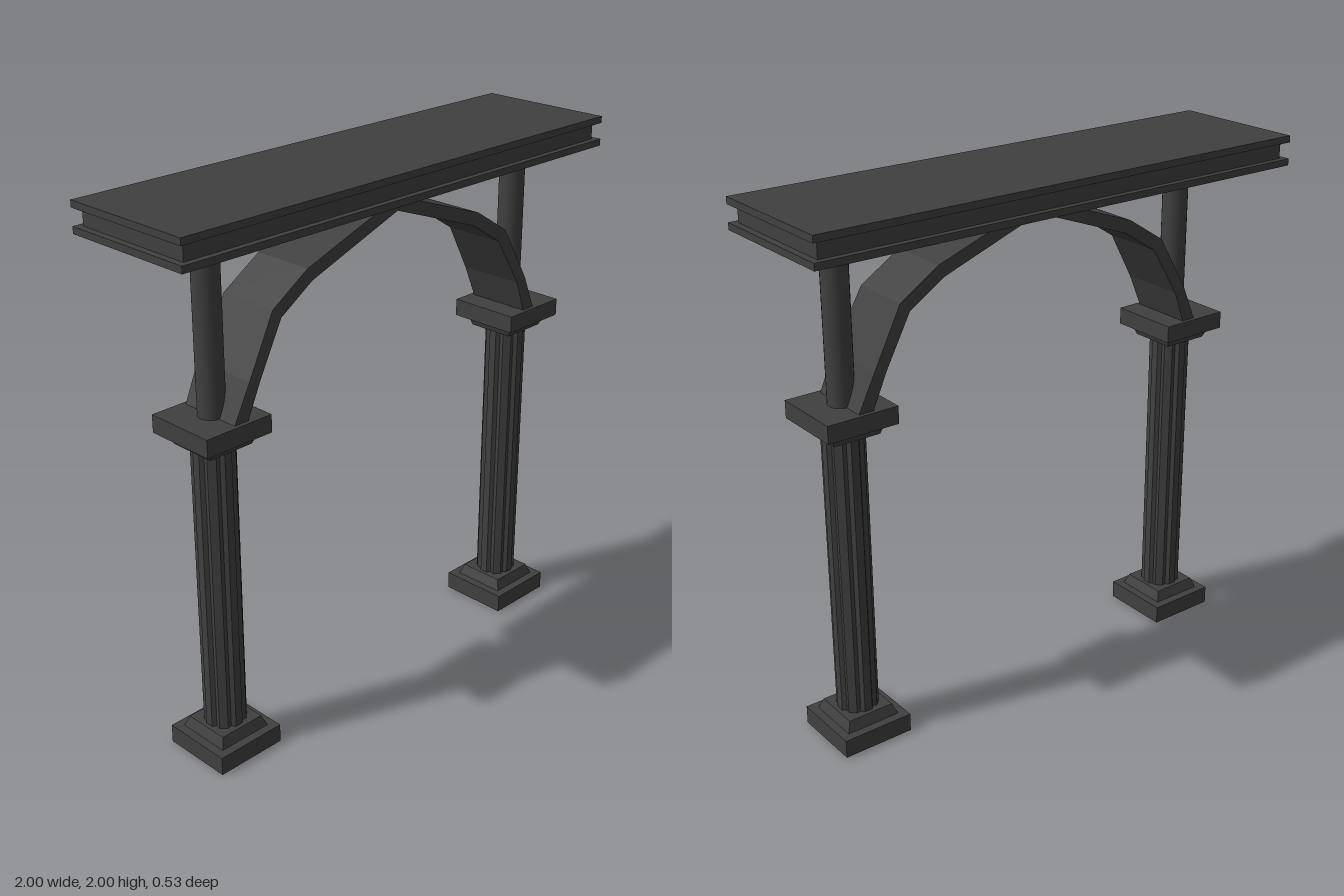
import * as THREE from 'three';

const material = new THREE.MeshStandardMaterial({ color: 0x404040, flatShading: true });
const smooth = new THREE.MeshStandardMaterial({ color: 0x404040 });
const COLUMN_X = 0.745;
const COLUMN_Z = 0.058;

function add(parent, name, geometry, y = 0, mat = material) {
  const mesh = new THREE.Mesh(geometry, mat);
  mesh.name = name;
  mesh.position.y = y;
  parent.add(mesh);
  return mesh;
}

// Box standing between two heights
function slab(parent, name, w, d, y0, y1) {
  return add(parent, name, new THREE.BoxGeometry(w, y1 - y0, d), (y0 + y1) / 2);
}

// Square block with sloping sides
function taper(parent, name, bottomHalf, topHalf, y0, y1) {
  const g = new THREE.CylinderGeometry(topHalf * Math.SQRT2, bottomHalf * Math.SQRT2, y1 - y0, 4);
  g.rotateY(Math.PI / 4);
  return add(parent, name, g, (y0 + y1) / 2);
}

// Fluted shaft: ribs and shallow grooves around an upright prism
function shaftGeometry(height) {
  const shape = new THREE.Shape();
  const n = 8;
  for (let i = 0; i < n; i++) {
    const a = (i / n) * Math.PI * 2;
    for (const [da, r] of [[-0.2, 0.0765], [0.2, 0.0765], [Math.PI / n, 0.066]]) {
      const x = Math.cos(a + da) * r, y = Math.sin(a + da) * r;
      if (i === 0 && da === -0.2) shape.moveTo(x, y);
      else shape.lineTo(x, y);
    }
  }
  shape.closePath();
  const g = new THREE.ExtrudeGeometry(shape, { depth: height, bevelEnabled: false });
  return g.rotateX(-Math.PI / 2);
}

function column(name, x) {
  const g = new THREE.Group();
  g.name = name;
  g.position.set(x, 0, COLUMN_Z);
  slab(g, 'plinth', 0.274, 0.274, 0, 0.07);
  taper(g, 'baseMoulding', 0.105, 0.09, 0.07, 0.11);
  add(g, 'shaft', shaftGeometry(1.08), 0.11);
  taper(g, 'capitalMoulding', 0.09, 0.105, 1.19, 1.23);
  slab(g, 'capital', 0.274, 0.274, 1.23, 1.295);
  add(g, 'upperPost', new THREE.CylinderGeometry(0.048, 0.048, 0.595, 24), 1.5925, smooth);
  return g;
}

// Pointed arch band lofted through rectangular sections
function archGeometry() {
  // outer x, outer y, inner x, inner y, half depth; from springing to apex
  const half = [
    [0.755, 1.29, 0.697, 1.29, 0.122],
    [0.69, 1.43, 0.645, 1.42, 0.128],
    [0.575, 1.64, 0.538, 1.605, 0.118],
    [0.42, 1.74, 0.398, 1.695, 0.1175],
    [0, 1.89, 0, 1.84, 0.1175],
  ];
  const mirrored = half.slice(0, -1).reverse().map(([a, b, c, d, e]) => [-a, b, -c, d, e]);
  const stations = [...half, ...mirrored];
  const pos = [], idx = [];
  for (const [ox, oy, ix, iy, h] of stations) {
    pos.push(ox, oy, h, ox, oy, -h, ix, iy, -h, ix, iy, h);
  }
  for (let s = 0; s < stations.length - 1; s++) {
    for (let k = 0; k < 4; k++) {
      const a = s * 4 + k, b = s * 4 + (k + 1) % 4;
      idx.push(a, b, b + 4, a, b + 4, a + 4);
    }
  }
  const e = (stations.length - 1) * 4;
  idx.push(0, 2, 1, 0, 3, 2, e, e + 1, e + 2, e, e + 2, e + 3);
  const indexed = new THREE.BufferGeometry();
  indexed.setAttribute('position', new THREE.Float32BufferAttribute(pos, 3));
  indexed.setIndex(idx);
  const g = indexed.toNonIndexed();
  g.computeVertexNormals();
  return g;
}

export function createModel() {
  const model = new THREE.Group();
  model.name = 'archway';

  model.add(column('leftColumn', COLUMN_X), column('rightColumn', -COLUMN_X));

  const arch = add(model, 'arch', archGeometry());
  arch.position.z = COLUMN_Z;

  // Roof beam with a recessed band between two thin plates
  const roof = new THREE.Group();
  roof.name = 'roof';
  slab(roof, 'lowerPlate', 2, 0.53, 1.89, 1.915);
  slab(roof, 'recessedBand', 1.95, 0.485, 1.915, 1.975);
  slab(roof, 'upperPlate', 2, 0.53, 1.975, 2);
  model.add(roof);

  return model;
}
